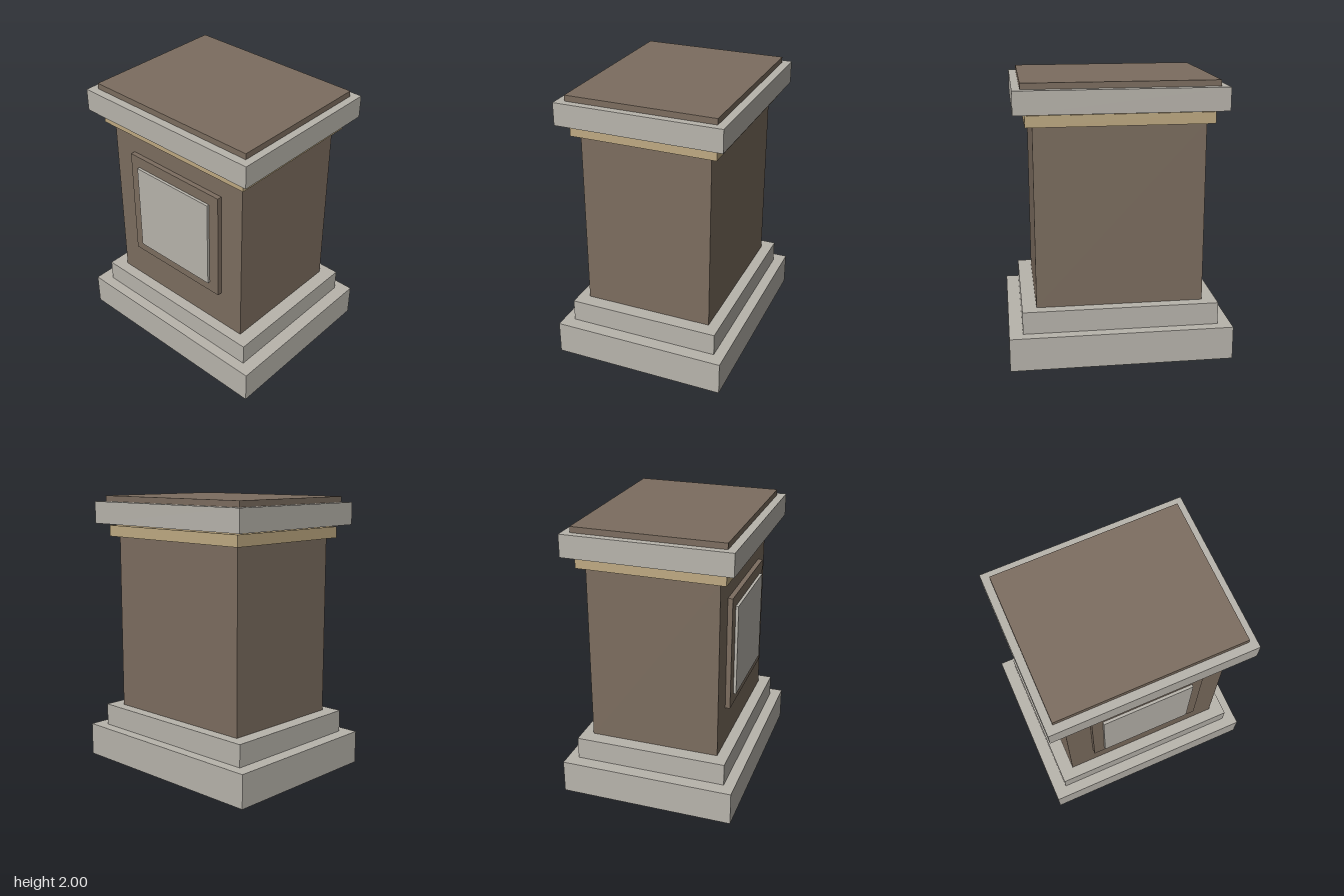
import * as THREE from 'three';

export function createModel() {
  const model = new THREE.Group();
  model.name = 'pedestal';

  const material = (name, color) => {
    const m = new THREE.MeshStandardMaterial({ color });
    m.name = name;
    return m;
  };
  const stone = material('pale stone', 0xb8b4ac);
  const brown = material('brown stone', 0x7c6d5f);
  const tan = material('tan trim', 0xbfaa82);

  // Box given by its width, bottom, top, back and front
  const block = (name, mat, width, y0, y1, z0, z1) => {
    const mesh = new THREE.Mesh(new THREE.BoxGeometry(width, y1 - y0, z1 - z0), mat);
    mesh.name = name;
    mesh.position.set(0, (y0 + y1) / 2, (z0 + z1) / 2);
    model.add(mesh);
  };

  // Centred tiers from the ground up: name, material, width, depth, bottom, top
  const tiers = [
    ['plinth', stone, 1.594, 1.266, 0, 0.242],
    ['baseStep', stone, 1.4, 1.108, 0.242, 0.404],
    ['shaft', brown, 1.195, 0.946, 0.404, 1.702],
    ['neckBand', tan, 1.295, 1.052, 1.702, 1.783],
    ['cap', stone, 1.456, 1.193, 1.797, 1.958], // a narrow gap shows below the cap
    ['topSlab', brown, 1.348, 1.075, 1.958, 2],
  ];
  for (const [name, mat, width, depth, y0, y1] of tiers) {
    block(name, mat, width, y0, y1, -depth / 2, depth / 2);
  }

  // Raised plaque on the front of the shaft
  block('plaqueFrame', brown, 0.83, 0.692, 1.527, 0.46, 0.508);
  block('plaquePanel', stone, 0.67, 0.772, 1.444, 0.5, 0.528);

  return model;
}
